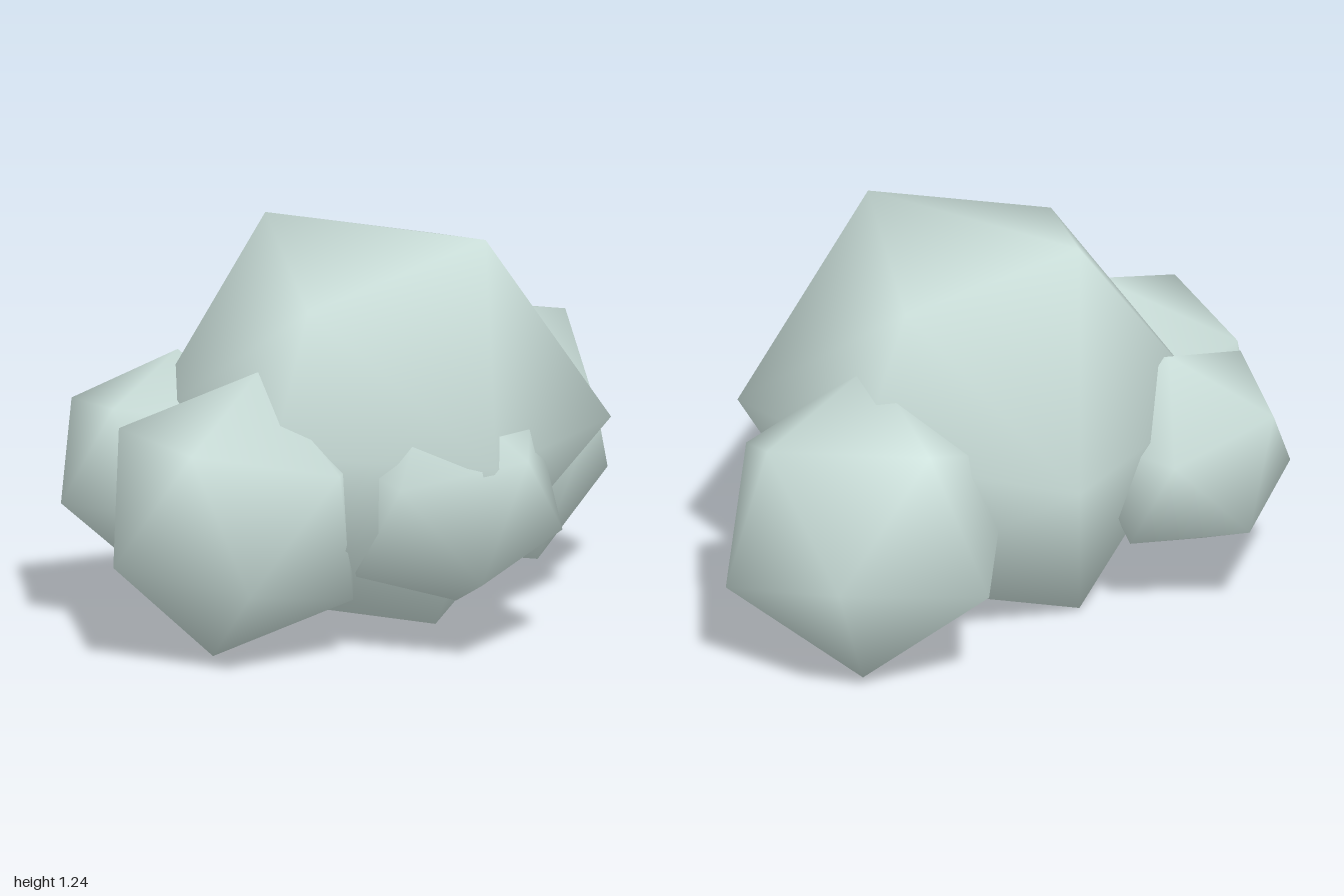
import * as THREE from 'three';
import { mergeVertices } from 'three/addons/utils/BufferGeometryUtils.js';
import { ConvexGeometry } from 'three/addons/geometries/ConvexGeometry.js';

const V = (a) => new THREE.Vector3(...a);

// The 12 corners of an icosahedron: axis points at the middle of one edge, edge runs along it
function corners(center, radius, axis, edge) {
  const y = V(axis).normalize();
  const x = V(edge).projectOnPlane(y).normalize();
  const z = x.clone().cross(y);
  const t = (1 + Math.sqrt(5)) / 2;
  const u = radius / Math.hypot(1, t);
  const points = [];
  for (const a of [-1, 1]) {
    for (const b of [-t, t]) {
      for (const [i, j, k] of [[a, b, 0], [0, a, b], [b, 0, a]]) {
        points.push(V(center).addScaledVector(x, i * u).addScaledVector(y, j * u).addScaledVector(z, k * u));
      }
    }
  }
  return points;
}

// Smooth-shaded faceted lump around a set of corners
function lump(name, points, material) {
  let geometry = new ConvexGeometry(points);
  geometry.deleteAttribute('normal');
  geometry = mergeVertices(geometry, 1e-4);
  geometry.computeVertexNormals();
  const mesh = new THREE.Mesh(geometry, material);
  mesh.name = name;
  return mesh;
}

export function createModel() {
  const group = new THREE.Group();
  group.name = 'cloud';
  const mist = new THREE.MeshStandardMaterial({ color: 0xcce0db });
  mist.name = 'pale mist';

  // Main puff: a few corners are pulled in to round it off
  const main = corners([-0.015, 0.63, 0.045], 0.724, [0, 1, 0], [0.17, 0, 0.985]);
  for (const target of [[-0.48, 1.08, 0.14], [0.42, 1.12, -0.06], [-0.02, 0.025, 0.28]]) {
    const to = V(target);
    main.reduce((a, b) => (a.distanceTo(to) < b.distanceTo(to) ? a : b)).copy(to);
  }
  // Shoulders that run into the side puffs
  main.push(V([0.66, 0.72, -0.08]), V([-0.66, 0.66, 0.14]));
  group.add(lump('mainPuff', main, mist));

  // Smaller puffs: name, centre, radius, axis, edge direction
  const puffs = [
    ['leftPuff', [0.584, 0.474, -0.05], 0.483, [0.4, -0.094, -0.005], [-0.03, -0.14, 0.49]],
    ['rightPuff', [-0.603, 0.44, -0.045], 0.445, [-0.347, -0.14, 0.055], [0.1, -0.04, 0.46]],
    ['frontPuff', [-0.15, 0.5, 0.41], 0.39, [-0.205, 0.115, 0.237], [0.31, 0.07, 0.255]],
    ['backPuff', [-0.4, 0.495, -0.48], 0.352, [-0.05, 0, -1], [-0.32, 0.947, 0]],
  ];
  for (const [name, center, radius, axis, edge] of puffs) {
    group.add(lump(name, corners(center, radius, axis, edge), mist));
  }
  return group;
}
